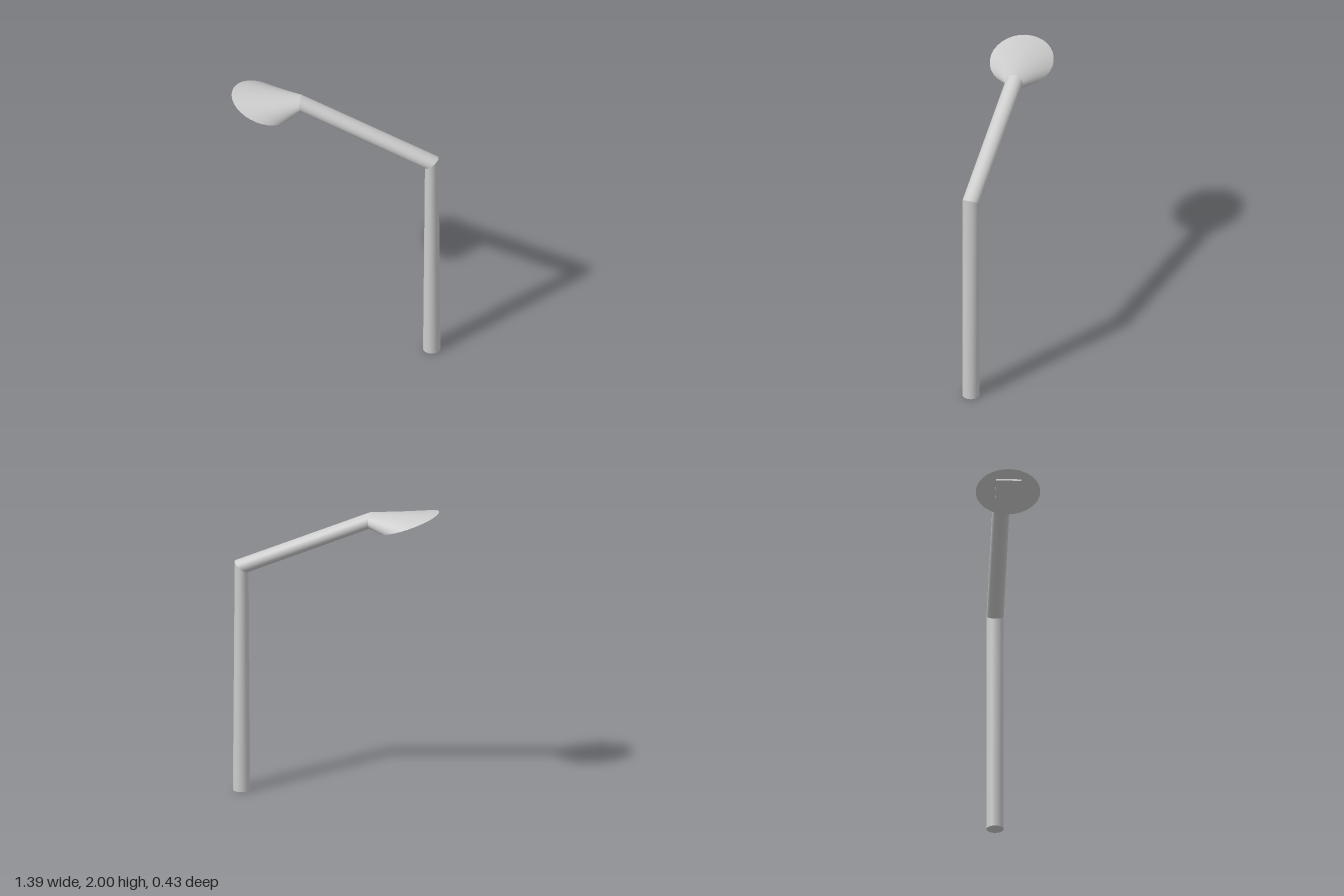
import * as THREE from 'three';

const SIDES = 32;
const material = new THREE.MeshStandardMaterial({ color: 0xcccccc, side: THREE.DoubleSide });

// Elliptical cross-sections: centre, in-plane half axis (vx, vy) and half width along z
const base = { c: [0.635, 0, -0.035], v: [0.0575, 0], rz: 0.057 };
const elbow = { c: [0.635, 1.546, -0.035], v: [0.045, 0.036], rz: 0.057 };
const neck = { c: [-0.24, 1.933, -0.035], v: [0, 0.055], rz: 0.057 };
const rim = { c: [-0.495, 1.928, 0], v: [-0.198, 0.072], rz: 0.213 };

function ringPoints({ c, v, rz }) {
  const points = [];
  for (let i = 0; i < SIDES; i++) {
    const a = (i / SIDES) * Math.PI * 2;
    points.push(c[0] + v[0] * Math.sin(a), c[1] + v[1] * Math.sin(a), c[2] + rz * Math.cos(a));
  }
  return points;
}

function makeMesh(name, positions, index) {
  const geometry = new THREE.BufferGeometry();
  geometry.setAttribute('position', new THREE.Float32BufferAttribute(positions, 3));
  geometry.setIndex(index);
  geometry.computeVertexNormals();
  const mesh = new THREE.Mesh(geometry, material);
  mesh.name = name;
  return mesh;
}

// Smooth tube between two cross-sections
function loft(name, from, to) {
  const index = [];
  for (let i = 0; i < SIDES; i++) {
    const j = (i + 1) % SIDES;
    index.push(i, j, SIDES + j, i, SIDES + j, SIDES + i);
  }
  return makeMesh(name, [...ringPoints(from), ...ringPoints(to)], index);
}

// Flat disc closing a cross-section
function cap(name, ring, flip) {
  const index = [];
  for (let i = 0; i < SIDES; i++) {
    const j = (i + 1) % SIDES;
    index.push(SIDES, flip ? j : i, flip ? i : j);
  }
  return makeMesh(name, [...ringPoints(ring), ...ring.c], index);
}

export function createModel() {
  const group = new THREE.Group();
  group.name = 'streetLamp';

  // Tapered pole, mitred into the sloping arm
  group.add(cap('poleBase', base, true));
  group.add(loft('pole', base, elbow));
  group.add(loft('arm', elbow, neck));

  // Flared head with a flat, tilted underside
  group.add(loft('lampHead', neck, rim));
  group.add(cap('lampUnderside', rim, false));

  // Light panel standing slightly proud of the underside
  const panel = new THREE.Mesh(new THREE.BoxGeometry(0.22, 0.026, 0.165), material);
  panel.name = 'lightPanel';
  panel.position.set(-0.503, 1.929, 0);
  panel.rotation.z = Math.atan2(-0.072, 0.198);
  group.add(panel);

  return group;
}
